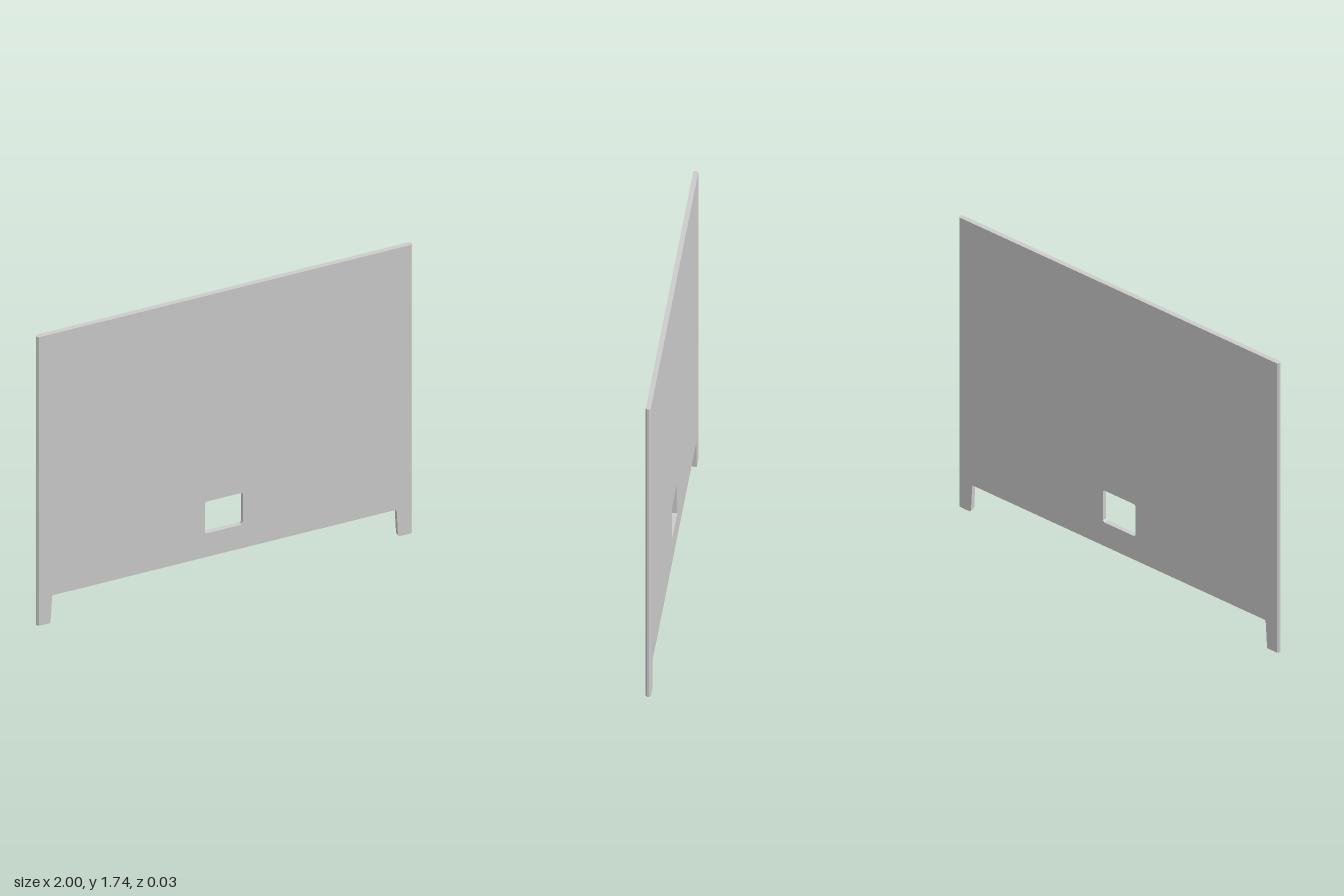
import * as THREE from 'three';

const TOP = 1.74, HALF_DEPTH = 0.0125, CHAMFER = 0.009;

// Closed outline from corner points
const trace = (path, points) => {
  points.forEach(([x, y], i) => (i ? path.lineTo(x, y) : path.moveTo(x, y)));
  path.closePath();
  return path;
};

export function createModel() {
  const group = new THREE.Group();
  group.name = 'panel';

  // Panel outline with two tapered feet
  const outline = trace(new THREE.Shape(), [
    [-1, 0], [-0.932, 0], [-0.929, 0.004], [-0.92, 0.158], [-0.914, 0.164],
    [0.908, 0.164], [0.914, 0.158], [0.921, 0.008], [0.928, 0], [1, 0],
    [1, TOP], [-1, TOP],
  ]);

  // Square window with small cut corners
  const [l, r, b, t, c] = [-0.106, 0.096, 0.306, 0.498, 0.008];
  outline.holes.push(trace(new THREE.Path(), [
    [l + c, b], [l, b + c], [l, t - c], [l + c, t],
    [r - c, t], [r, t - c], [r, b + c], [r - c, b],
  ]));

  const geometry = new THREE.ExtrudeGeometry(outline, {
    depth: 2 * HALF_DEPTH, steps: 3, bevelEnabled: false,
  });
  geometry.translate(0, 0, -HALF_DEPTH);

  // Chamfer the upright side edges: pull in the outer layers
  const pos = geometry.attributes.position;
  for (let i = 0; i < pos.count; i++) {
    const x = pos.getX(i), z = pos.getZ(i);
    if (Math.abs(x) > 0.999 && Math.abs(z) > HALF_DEPTH * 0.9) {
      pos.setX(i, Math.sign(x) * (1 - CHAMFER));
    }
  }
  geometry.computeVertexNormals();

  const board = new THREE.Mesh(
    geometry,
    new THREE.MeshStandardMaterial({ color: 0xcccccc, flatShading: true }),
  );
  board.name = 'boardWithWindowAndFeet';
  group.add(board);
  return group;
}
